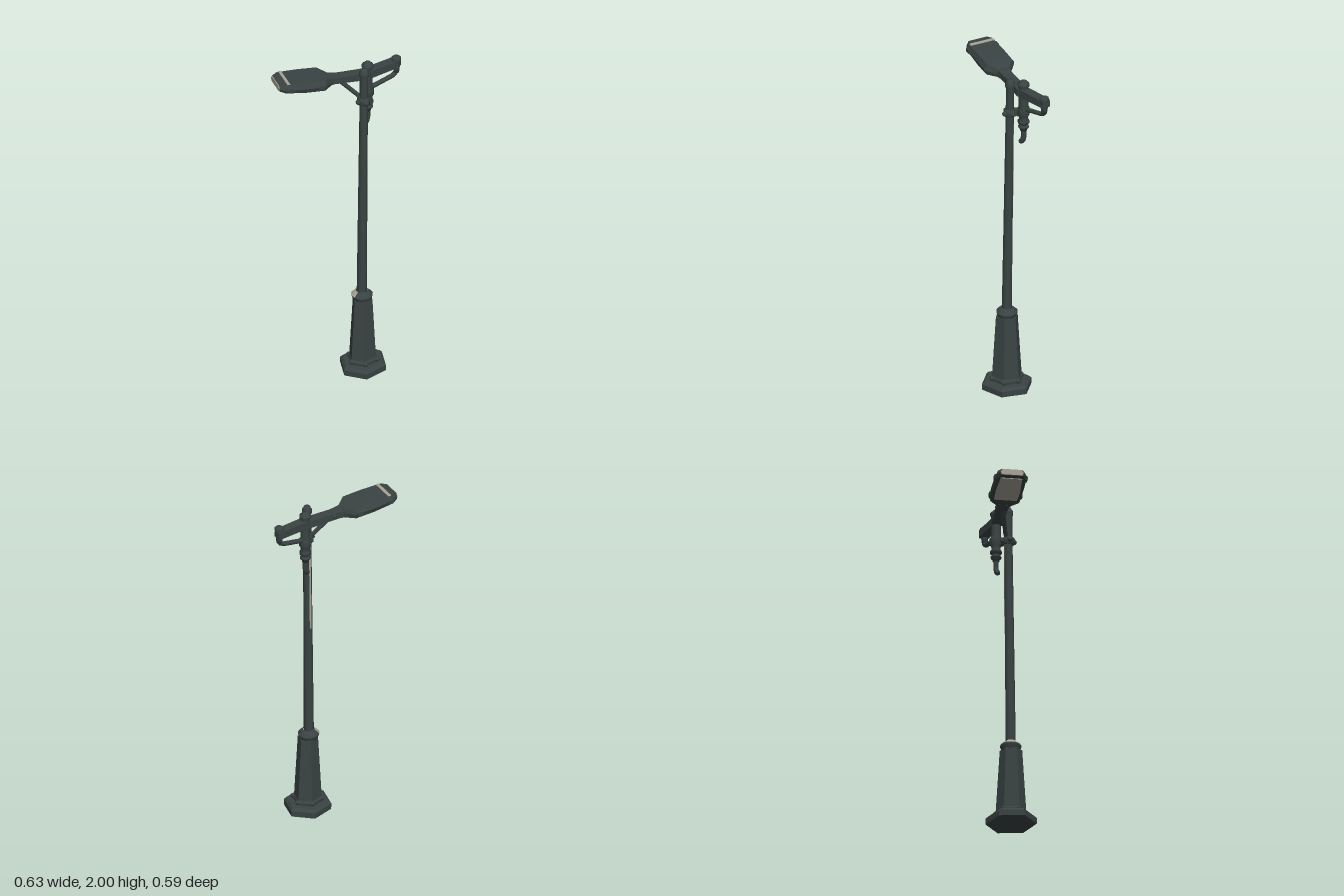
import * as THREE from 'three';

const mat = (name, color) => {
  const m = new THREE.MeshStandardMaterial({ color });
  m.name = name;
  return m;
};

export function createModel() {
  const root = new THREE.Group();
  root.name = 'streetLamp';
  const iron = mat('darkIron', 0x3a4343);
  const pale = mat('paleGlass', 0xa8a396);
  pale.side = THREE.DoubleSide;

  const add = (name, geo, material = iron, parent = root) => {
    const m = new THREE.Mesh(geo, material);
    m.name = name;
    parent.add(m);
    return m;
  };
  const flat = (g) => {
    const f = g.index ? g.toNonIndexed() : g;
    f.computeVertexNormals();
    return f;
  };
  // Turned profile of [radius, y] pairs
  const turned = (name, pts, sides, x, z, faceted = false, start = 0, sweep = Math.PI * 2, material = iron) => {
    let g = new THREE.LatheGeometry(pts.map(p => new THREE.Vector2(p[0], p[1])), sides, start, sweep);
    if (faceted) g = flat(g);
    const m = add(name, g, material);
    m.position.set(x, 0, z);
    return m;
  };
  const tube = (name, pts, r) => {
    const path = new THREE.CurvePath();
    const v = pts.map(p => new THREE.Vector3(...p));
    for (let i = 1; i < v.length; i++) path.add(new THREE.LineCurve3(v[i - 1], v[i]));
    return add(name, new THREE.TubeGeometry(path, (v.length - 1) * 6, r, 8));
  };
  // Closed faceted body through matching counterclockwise sections along z
  const loft = (sections) => {
    const n = sections[0].length, idx = [], last = (sections.length - 1) * n;
    for (let i = 0; i < sections.length - 1; i++) {
      for (let j = 0; j < n; j++) {
        const k = (j + 1) % n, a = i * n + j, b = i * n + k;
        idx.push(a, b, b + n, a, b + n, a + n);
      }
    }
    for (let j = 1; j < n - 1; j++) idx.push(0, j + 1, j, last, last + j, last + j + 1);
    const g = new THREE.BufferGeometry();
    g.setAttribute('position', new THREE.Float32BufferAttribute(sections.flat(2), 3));
    g.setIndex(idx);
    return flat(g);
  };
  const rect = (z, w, y0, y1) => [[-w, y0, z], [w, y0, z], [w, y1, z], [-w, y1, z]];
  const hood = (z, w, y0, y1) => {
    const ym = y0 + (y1 - y0) * 0.45;
    return [[-w * 0.9, y0, z], [w * 0.9, y0, z], [w, ym, z], [w * 0.84, y1, z], [-w * 0.84, y1, z], [-w, ym, z]];
  };

  // Hexagonal foot and tapered pedestal
  const cx = 0.165, cz = -0.015;
  const foot = turned('foot', [[0, 0], [0.137, 0], [0.138, 0.035], [0.122, 0.05], [0, 0.052]], 6, cx, cz, true, Math.PI / 6);
  foot.scale.z = 1.09;
  const pedestal = turned('pedestal', [[0.086, 0.05], [0.088, 0.066], [0.08, 0.08], [0.059, 0.46], [0, 0.46]], 6, cx - 0.002, cz, true, Math.PI / 6);
  pedestal.scale.z = 1.12;
  for (let i = 0; i < 6; i++) {
    const a = i * Math.PI / 3;
    const b = add('footBolt', new THREE.SphereGeometry(0.014, 8, 6));
    b.position.set(cx + Math.cos(a) * 0.085, 0.065, cz + Math.sin(a) * 0.09);
  }
  const collar = [[0.05, 0.45], [0.06, 0.478], [0.062, 0.488], [0.034, 0.512], [0.03, 0.512]];
  turned('collar', collar, 12, 0.16, cz);
  turned('collarWear', [[0.0635, 0.489], [0.0355, 0.5135]], 4, 0.16, cz, false, -1.6, 1.2, pale);

  // Main pole, leaning slightly backward
  const lean = new THREE.Group();
  lean.name = 'pole';
  lean.position.set(0.158, 0.5, -0.014);
  lean.rotation.set(-0.0145, 0, -0.0045);
  root.add(lean);
  const shaft = [[0.029, 0], [0.024, 1.25], [0.024, 1.44], [0.029, 1.445], [0.029, 1.47], [0.02, 1.478], [0.02, 1.488], [0, 1.492]];
  add('shaft', new THREE.LatheGeometry(shaft.map(p => new THREE.Vector2(...p)), 10), iron, lean);
  const streak = [[0.0292, 0.69], [0.0255, 1.26]].map(p => new THREE.Vector2(...p));
  add('shaftWear', new THREE.LatheGeometry(streak, 2, Math.PI * 1.18, 0.45), pale, lean);

  // Clamp around the pole
  turned('clampRing', [[0.024, 1.755], [0.035, 1.76], [0.037, 1.795], [0.024, 1.802]], 10, 0.163, -0.032);
  for (let i = 0; i < 4; i++) {
    const a = 0.75 + i * Math.PI / 2;
    const b = add('clampBolt', new THREE.SphereGeometry(0.016, 8, 6));
    b.position.set(0.163 + Math.cos(a) * 0.034, 1.778, -0.032 + Math.sin(a) * 0.034);
  }

  // Rear short post with rings and a hooked pipe below
  turned('rearPost', [[0, 1.665], [0.02, 1.67], [0.02, 1.685], [0.031, 1.69], [0.031, 1.7], [0.022, 1.705],
    [0.022, 1.715], [0.034, 1.72], [0.034, 1.735], [0.026, 1.74], [0.028, 1.77], [0.036, 1.775],
    [0.036, 1.815], [0.028, 1.82], [0.028, 1.955], [0.034, 1.958], [0.034, 1.975], [0.02, 1.982], [0.018, 1.99], [0, 1.994]], 10, 0.16, -0.112);
  tube('hookPipe', [[0.16, 1.69, -0.112], [0.16, 1.625, -0.112], [0.157, 1.605, -0.107], [0.152, 1.592, -0.096]], 0.016);
  const tip = add('hookTip', new THREE.SphereGeometry(0.016, 8, 6));
  tip.position.set(0.152, 1.594, -0.097);
  const link = add('postLink', new THREE.BoxGeometry(0.03, 0.04, 0.08));
  link.position.set(0.162, 1.785, -0.073);

  // Rear arm, end post and lower bracket
  const rear = new THREE.Group();
  rear.name = 'rearArm';
  rear.position.set(0.165, 0, -0.112);
  rear.rotation.y = Math.atan2(0.125, -0.165);
  root.add(rear);
  add('rearBeam', loft([rect(0, 0.028, 1.895, 1.943), rect(0.19, 0.028, 1.902, 1.946), rect(0.212, 0.018, 1.908, 1.94)]), iron, rear);
  turned('endPost', [[0, 1.86], [0.016, 1.862], [0.02, 1.89], [0.026, 1.94], [0.028, 1.945], [0.028, 1.96], [0.02, 1.967], [0, 1.969]], 8, 0.283, -0.258);
  tube('rearBracket', [[0.28, 1.91, -0.258], [0.28, 1.86, -0.258], [0.265, 1.845, -0.238], [0.165, 1.812, -0.118]], 0.014);

  // Front arm and lamp head share one axis
  const head = new THREE.Group();
  head.name = 'lampHead';
  head.position.set(-0.025, 0, 0.045);
  head.rotation.y = Math.atan2(-0.777, 0.629);
  root.add(head);
  add('frontArm', loft([rect(-0.235, 0.03, 1.893, 1.938), rect(-0.07, 0.03, 1.905, 1.945),
    rect(-0.03, 0.033, 1.91, 1.95), rect(0.01, 0.042, 1.91, 1.955)]), iron, head);
  add('hood', loft([hood(-0.005, 0.042, 1.91, 1.956), hood(0.045, 0.092, 1.913, 1.975),
    hood(0.16, 0.094, 1.925, 1.987), hood(0.285, 0.09, 1.945, 1.996), hood(0.318, 0.07, 1.955, 1.992)]), iron, head);
  add('hoodStripe', loft([rect(0.257, 0.076, 1.991, 1.998), rect(0.275, 0.076, 1.992, 2)]), pale, head);
  add('lens', loft([rect(0.07, 0.066, 1.912, 1.918), rect(0.16, 0.07, 1.922, 1.928), rect(0.295, 0.062, 1.944, 1.95)]), pale, head);
  add('endGlass', loft([hood(0.316, 0.067, 1.957, 1.991), hood(0.322, 0.066, 1.957, 1.991)]), pale, head);
  for (const s of [-1, 1]) {
    for (const z of [0.07, 0.26]) {
      const latch = add('hoodLatch', new THREE.BoxGeometry(0.012, 0.02, 0.04), iron, head);
      latch.position.set(s * 0.09, 1.935 + z * 0.11, z);
    }
  }
  tube('frontBrace', [[0.015, 1.925, 0.012], [0.035, 1.91, 0.008], [0.125, 1.815, -0.03], [0.155, 1.785, -0.036]], 0.013);
  const hinge = add('braceBolt', new THREE.SphereGeometry(0.015, 8, 6));
  hinge.position.set(0.01, 1.928, -0.015);

  return root;
}
